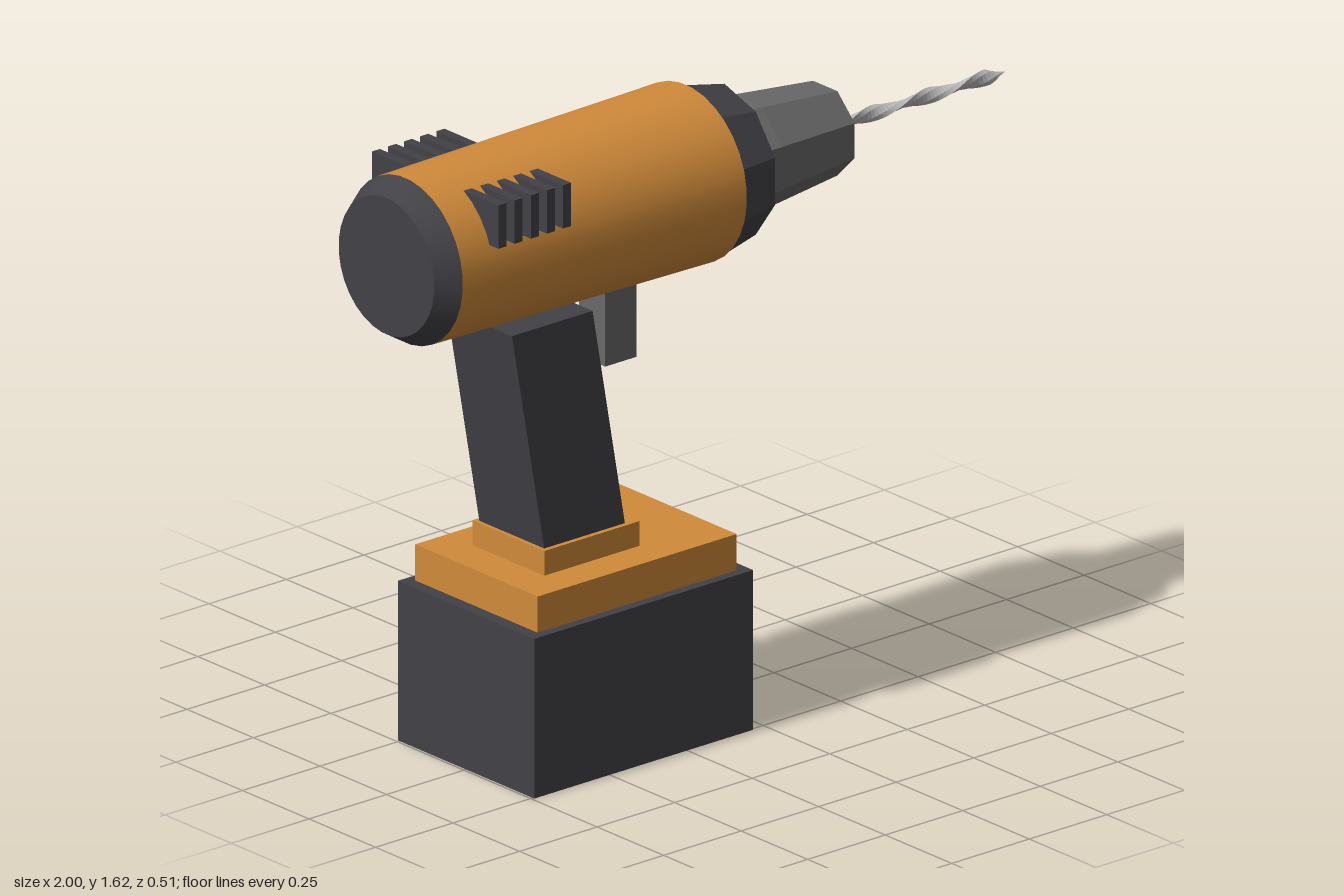
import * as THREE from 'three';

const AXIS = 1.39; // height of the barrel axis

export function createModel() {
  const model = new THREE.Group();
  model.name = 'cordlessDrill';

  const mat = (name, color, flatShading = false) => {
    const m = new THREE.MeshStandardMaterial({ color, flatShading });
    m.name = name;
    return m;
  };
  const orange = mat('orange', 0xd08a3a);
  const dark = mat('charcoal', 0x424146);
  const grey = mat('midGrey', 0x696969);
  const steel = mat('steel', 0xb9b9b9);

  const add = (name, geometry, material) => {
    const mesh = new THREE.Mesh(geometry, material);
    mesh.name = name;
    model.add(mesh);
    return mesh;
  };
  const box = (name, x0, x1, y0, y1, z0, z1, material) =>
    add(name, new THREE.BoxGeometry(x1 - x0, y1 - y0, z1 - z0), material)
      .position.set((x0 + x1) / 2, (y0 + y1) / 2, (z0 + z1) / 2);

  // Tapered cylinder lying along x; few-sided ones get faceted normals
  const barrel = (name, x0, x1, r0, r1, sides, material) => {
    let g = new THREE.CylinderGeometry(r1, r0, x1 - x0, sides, 1, false, Math.PI / sides);
    if (sides <= 12) {
      g = g.toNonIndexed();
      g.computeVertexNormals();
    }
    g.rotateZ(-Math.PI / 2);
    g.translate((x0 + x1) / 2, AXIS, 0);
    return add(name, g, material);
  };

  // Motor housing and chuck
  barrel('rearCap', -1, -0.94, 0.18, 0.217, 32, dark);
  barrel('motorHousing', -0.94, -0.035, 0.217, 0.23, 32, orange);
  barrel('frontCollar', -0.035, 0.09, 0.226, 0.2, 10, dark);
  barrel('chuckBase', 0.09, 0.16, 0.15, 0.15, 8, grey);
  barrel('chuckJaw', 0.16, 0.415, 0.147, 0.12, 8, grey);
  barrel('chuckNose', 0.415, 0.46, 0.075, 0.05, 16, steel);

  // Twist bit: a flattened rod turned along its length and drawn to a point
  const length = 0.54;
  let bit = new THREE.CylinderGeometry(0.02, 0.02, length, 6, 48);
  const p = bit.attributes.position;
  for (let i = 0; i < p.count; i++) {
    const t = p.getY(i) / length + 0.5;
    const taper = Math.max(0.02, Math.min(1, (1 - t) / 0.1));
    const angle = t * Math.PI * 3;
    const x = p.getX(i) * 0.5 * taper;
    const z = p.getZ(i) * taper;
    p.setX(i, x * Math.cos(angle) - z * Math.sin(angle));
    p.setZ(i, x * Math.sin(angle) + z * Math.cos(angle));
  }
  bit = bit.toNonIndexed();
  bit.computeVertexNormals();
  bit.rotateZ(-Math.PI / 2);
  bit.translate(0.455 + length / 2, AXIS, 0);
  add('drillBit', bit, steel);

  // Cooling fins on both sides
  for (const side of [-1, 1]) {
    for (let i = 0; i < 5; i++) {
      const x = -0.83 + i * 0.052;
      const z = side * 0.17;
      box('coolingFin', x - 0.013, x + 0.013, 1.466, 1.58, z - 0.068, z + 0.068, dark);
    }
  }

  // Raked handle
  const outline = new THREE.Shape([
    new THREE.Vector2(-0.595, 0.575), new THREE.Vector2(-0.335, 0.575),
    new THREE.Vector2(-0.44, 1.165), new THREE.Vector2(-0.7, 1.165),
  ]);
  const handle = new THREE.ExtrudeGeometry(outline, { depth: 0.244, bevelEnabled: false });
  handle.translate(0, 0, -0.122);
  add('handle', handle, dark);

  box('trigger', -0.337, -0.235, 0.97, 1.18, -0.049, 0.049, grey);

  // Foot and battery
  box('handleFoot', -0.607, -0.3, 0.515, 0.58, -0.135, 0.135, orange);
  box('batteryMount', -0.71, -0.068, 0.42, 0.515, -0.23, 0.23, orange);
  box('battery', -0.743, -0.037, 0, 0.42, -0.256, 0.256, dark);

  return model;
}
